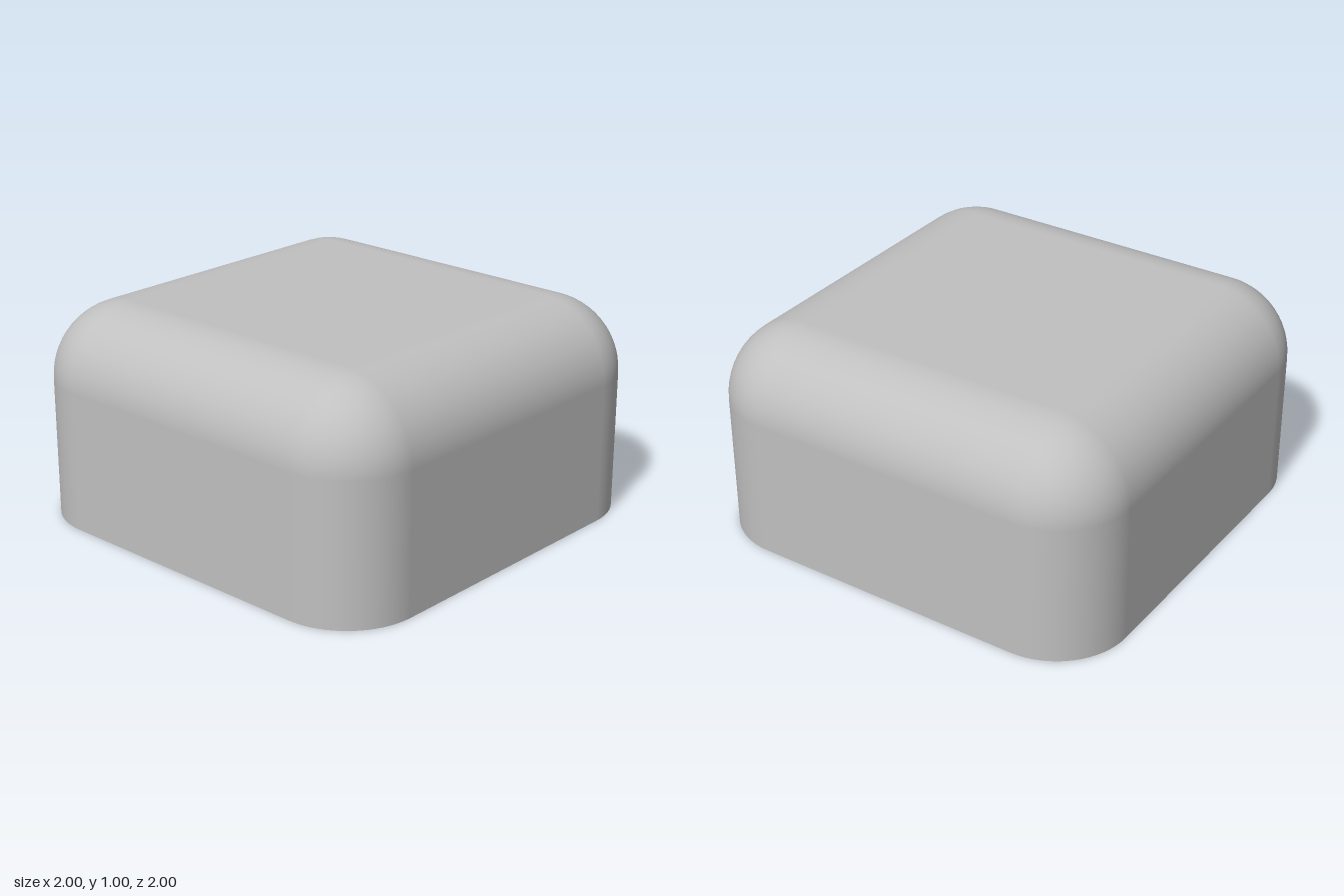
import * as THREE from 'three';

const HALF = 1, ROUND = 0.35, WALL = 0.06, SEG = 16;
const CORE = HALF - ROUND;              // corner centres, also the height where the dome starts
const INNER = HALF - WALL;
const SLOT = { x: 0.38, y: 0.13, w: 0.25, h: 0.08, d: 0.035 };

// Outline of a rounded square as [x, z, cos, sin]
function outline(radius) {
  const pts = [];
  for (let k = 0; k < 4; k++) {
    const mid = (k + 0.5) * Math.PI / 2;
    const cx = Math.sign(Math.cos(mid)) * CORE, cz = Math.sign(Math.sin(mid)) * CORE;
    for (let s = 0; s <= SEG; s++) {
      const a = (k + s / SEG) * Math.PI / 2;
      pts.push([cx + radius * Math.cos(a), cz + radius * Math.sin(a), Math.cos(a), Math.sin(a)]);
    }
  }
  return pts;
}

// Rounded skin built from stacked outlines; the inner skin leaves its flat walls open
function skin(radius, inside) {
  const pos = [], nor = [], idx = [], n = 4 * (SEG + 1), dir = inside ? -1 : 1;
  for (let i = 0; i <= SEG + 1; i++) {
    const phi = Math.max(0, i - 1) / SEG * Math.PI / 2;
    const y = i === 0 ? 0 : CORE + radius * Math.sin(phi);
    for (const [x, z, c, s] of outline(radius * Math.cos(phi))) {
      pos.push(x, y, z);
      nor.push(dir * c * Math.cos(phi), dir * Math.sin(phi), dir * s * Math.cos(phi));
    }
  }
  for (let i = 0; i <= SEG; i++) {
    for (let j = 0; j < n; j++) {
      if (inside && i === 0 && j % (SEG + 1) === SEG) continue;
      const a = i * n + j, b = i * n + (j + 1) % n, c = a + n, d = b + n;
      if (inside) idx.push(a, b, c, b, d, c);
      else idx.push(a, c, b, b, c, d);
    }
  }
  const g = new THREE.BufferGeometry();
  g.setAttribute('position', new THREE.Float32BufferAttribute(pos, 3));
  g.setAttribute('normal', new THREE.Float32BufferAttribute(nor, 3));
  g.setIndex(idx);
  return g;
}

// Box turned inside out and open towards -z
function pocket(w, h, d) {
  const g = new THREE.BoxGeometry(w, h, d);
  g.setIndex(Array.from(g.index.array).slice(0, 30).reverse());
  const n = g.attributes.normal;
  for (let i = 0; i < n.count; i++) n.setXYZ(i, -n.getX(i), -n.getY(i), -n.getZ(i));
  return g;
}

function rectPath(path, x, y, w, h) {
  path.moveTo(x - w / 2, y - h / 2);
  path.lineTo(x + w / 2, y - h / 2);
  path.lineTo(x + w / 2, y + h / 2);
  path.lineTo(x - w / 2, y + h / 2);
  path.closePath();
  return path;
}

export function createModel() {
  const root = new THREE.Group();
  root.name = 'hollowCover';
  const grey = new THREE.MeshStandardMaterial({ color: 0xc0c0c0 });
  grey.name = 'plain grey';

  const add = (parent, name, geo, x = 0, y = 0, z = 0) => {
    const m = new THREE.Mesh(geo, grey);
    m.name = name;
    m.position.set(x, y, z);
    parent.add(m);
    return m;
  };

  // Outer and inner skins with their flat tops
  add(root, 'outerSkin', skin(ROUND, false));
  add(root, 'topPanel', new THREE.PlaneGeometry(2 * CORE, 2 * CORE).rotateX(-Math.PI / 2), 0, HALF, 0);
  add(root, 'innerSkin', skin(ROUND - WALL, true));
  add(root, 'ceiling', new THREE.PlaneGeometry(2 * CORE, 2 * CORE).rotateX(Math.PI / 2), 0, INNER, 0);

  // Bottom rim between the skins
  const toPoints = r => outline(r).map(([x, z]) => new THREE.Vector2(x, z));
  const rim = new THREE.Shape(toPoints(ROUND));
  rim.holes.push(new THREE.Path(toPoints(ROUND - WALL)));
  add(root, 'bottomRim', new THREE.ShapeGeometry(rim).rotateX(Math.PI / 2));

  // Four flat inner walls, each with two clip slots
  for (let k = 0; k < 4; k++) {
    const side = new THREE.Group();
    side.name = 'innerWall';
    side.rotation.y = k * Math.PI / 2;
    const wall = rectPath(new THREE.Shape(), 0, CORE / 2, 2 * CORE, CORE);
    for (const s of [-1, 1]) {
      wall.holes.push(rectPath(new THREE.Path(), s * SLOT.x, SLOT.y, SLOT.w, SLOT.h));
      add(side, 'clipSlot', pocket(SLOT.w, SLOT.h, SLOT.d), s * SLOT.x, SLOT.y, INNER + SLOT.d / 2);
    }
    add(side, 'wallPanel', new THREE.ShapeGeometry(wall).rotateY(Math.PI), 0, 0, INNER);
    root.add(side);
  }

  // Holder on the front wall: block, curved hook and small peg
  const holder = new THREE.Group();
  holder.name = 'holder';
  add(holder, 'holderBlock', new THREE.BoxGeometry(0.28, 0.13, 0.24), -0.02, 0.315, 0.83);
  const hook = new THREE.Shape();
  hook.absarc(0, 0, 0.18, -0.3, 2.1, false);
  hook.absarc(0, 0, 0.13, 2.1, -0.3, true);
  add(holder, 'hook', new THREE.ExtrudeGeometry(hook, { depth: 0.1, bevelEnabled: false, curveSegments: 20 }),
    -0.02, 0.46, 0.85);
  add(holder, 'peg', new THREE.CylinderGeometry(0.025, 0.025, 0.06, 16), 0.09, 0.4, 0.8);
  root.add(holder);

  // Rails under the ceiling, with tapered ends, joined by a cross plate
  const rail = new THREE.Shape([[-0.67, 0.74], [0.67, 0.74], [0.58, 0.8], [-0.58, 0.8]]
    .map(p => new THREE.Vector2(...p)));
  for (const s of [-1, 1]) {
    const g = new THREE.ExtrudeGeometry(rail, { depth: 0.04, bevelEnabled: false });
    g.translate(0, 0, -0.02).rotateY(Math.PI / 2);
    add(root, 'ceilingRail', g, s * 0.3, 0, 0);
  }
  add(root, 'crossPlate', new THREE.BoxGeometry(0.58, 0.04, 0.3), 0, 0.78, 0);
  for (const s of [-1, 1]) add(root, 'railPost', new THREE.BoxGeometry(0.04, 0.16, 0.2), s * 0.3, 0.87, 0);

  return root;
}
